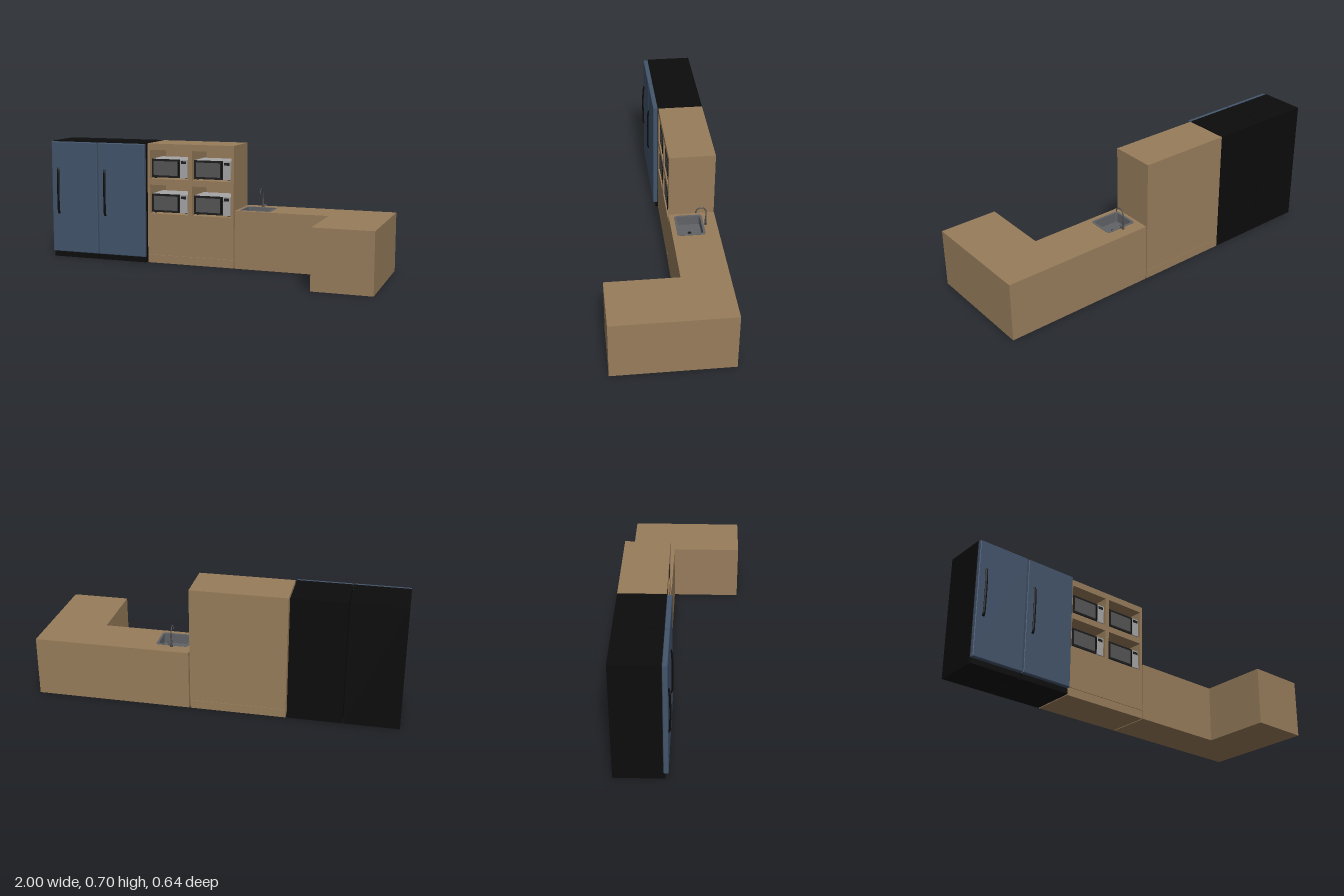
import * as THREE from 'three';

const mat = (color, side = THREE.FrontSide) => new THREE.MeshStandardMaterial({ color, side });
const wood = mat(0x977c5b), blue = mat(0x43546b), black = mat(0x0c0c0c), dark = mat(0x1c1c1c);
const glass = mat(0x555555), silver = mat(0xa5a5a5), steel = mat(0x606266), tapMetal = mat(0x4a4a4a);

function add(parent, name, geometry, material) {
  const mesh = new THREE.Mesh(geometry, material);
  mesh.name = name;
  parent.add(mesh);
  return mesh;
}

// Box given by its extents on each axis
function box(parent, name, [x0, x1], [y0, y1], [z0, z1], material) {
  const mesh = add(parent, name, new THREE.BoxGeometry(x1 - x0, y1 - y0, z1 - z0), material);
  mesh.position.set((x0 + x1) / 2, (y0 + y1) / 2, (z0 + z1) / 2);
  return mesh;
}

// Rounded rectangle outline; r = 0 gives sharp corners
function rect(Type, x0, x1, y0, y1, r = 0) {
  const s = new Type();
  if (!r) {
    s.moveTo(x0, y0).lineTo(x1, y0).lineTo(x1, y1).lineTo(x0, y1).closePath();
    return s;
  }
  s.absarc(x1 - r, y0 + r, r, -Math.PI / 2, 0);
  s.absarc(x1 - r, y1 - r, r, 0, Math.PI / 2);
  s.absarc(x0 + r, y1 - r, r, Math.PI / 2, Math.PI);
  s.absarc(x0 + r, y0 + r, r, Math.PI, Math.PI * 1.5);
  s.closePath();
  return s;
}

const extrude = (shape, depth, extra = {}) =>
  new THREE.ExtrudeGeometry(shape, { depth, bevelEnabled: false, curveSegments: 6, ...extra });

// Plan outline (drawn in x, -z) raised between two heights
function slab(parent, name, shape, y0, y1, material) {
  const mesh = add(parent, name, extrude(shape, y1 - y0).rotateX(-Math.PI / 2), material);
  mesh.position.y = y0;
  return mesh;
}

function tube(parent, name, points, radius, material, segments = 32) {
  const path = new THREE.CatmullRomCurve3(points.map((p) => new THREE.Vector3(...p)));
  return add(parent, name, new THREE.TubeGeometry(path, segments, radius, 10), material);
}

function createFridge(x0) {
  const g = new THREE.Group();
  g.name = 'fridge';
  const w = 0.298;
  box(g, 'fridgeBody', [0, w], [0, 0.696], [-0.322, -0.07], black);
  box(g, 'fridgeKickPlate', [0.003, w - 0.003], [0, 0.03], [-0.07, -0.058], black);
  box(g, 'doorGasket', [0.006, w - 0.006], [0.038, 0.686], [-0.07, -0.066], dark);
  // Door with softened edges
  const b = 0.004;
  const door = add(g, 'fridgeDoor', extrude(rect(THREE.Shape, 0.001 + b, w - 0.001 - b, 0.034 + b, 0.692 - b),
    0.018, { bevelEnabled: true, bevelSize: b, bevelThickness: b, bevelSegments: 2 }), blue);
  door.position.z = -0.068 + b;
  // Bowed handle
  const handle = tube(g, 'fridgeHandle', [[0, 0.265, -0.044], [0, 0.275, -0.037], [0, 0.33, -0.034],
    [0, 0.4, -0.033], [0, 0.47, -0.034], [0, 0.525, -0.039], [0, 0.535, -0.044]], 0.005, black);
  handle.scale.x = 1.5;
  handle.position.x = 0.045;
  g.position.x = x0;
  return g;
}

function createMicrowave(x, y) {
  const g = new THREE.Group();
  g.name = 'microwave';
  box(g, 'microwaveBody', [0, 0.218], [0.006, 0.112], [-0.24, -0.083], silver);
  box(g, 'microwaveDoor', [0, 0.172], [0.006, 0.112], [-0.083, -0.077], dark);
  box(g, 'microwaveWindow', [0.012, 0.158], [0.018, 0.1], [-0.077, -0.0762], glass);
  box(g, 'microwaveHandle', [0.163, 0.168], [0.015, 0.103], [-0.077, -0.073], black);
  box(g, 'controlPanel', [0.174, 0.218], [0.006, 0.112], [-0.083, -0.077], silver);
  box(g, 'microwaveDisplay', [0.18, 0.212], [0.088, 0.104], [-0.077, -0.0762], dark);
  for (const fx of [0.015, 0.203]) for (const fz of [-0.225, -0.1])
    box(g, 'microwaveFoot', [fx - 0.006, fx + 0.006], [0, 0.006], [fz - 0.006, fz + 0.006], black);
  g.position.set(x, y, 0);
  return g;
}

function createTallCabinet() {
  const g = new THREE.Group();
  g.name = 'tallCabinet';
  // Carcass pierced by four open niches
  const front = rect(THREE.Shape, -0.392, 0.132, 0.048, 0.695);
  const columns = [-0.376, -0.117], rows = [0.29, 0.492];
  for (const x of columns) for (const y of rows) {
    front.holes.push(rect(THREE.Path, x, x + 0.234, y, y + 0.167));
    g.add(createMicrowave(x + 0.008, y + 0.003));
  }
  add(g, 'cabinetCarcass', extrude(front, 0.24), wood).position.z = -0.31;
  box(g, 'cabinetBack', [-0.392, 0.132], [0.048, 0.695], [-0.322, -0.31], wood);
  box(g, 'cabinetPlinth', [-0.392, 0.132], [0, 0.0465], [-0.322, -0.071], wood);
  return g;
}

function createCounter() {
  const g = new THREE.Group();
  g.name = 'cornerCounter';
  const outline = () => new THREE.Shape([[0.139, 0.07], [0.675, 0.07], [0.675, -0.322], [1, -0.322],
    [1, 0.322], [0.139, 0.322]].map((p) => new THREE.Vector2(...p)));
  slab(g, 'counterBase', outline(), 0, 0.275, wood);
  const top = outline();
  top.holes.push(rect(THREE.Path, 0.165, 0.33, 0.105, 0.243, 0.014));
  slab(g, 'counterTop', top, 0.275, 0.331, wood);

  // Inset sink: rim, walls, floor and drain
  const rim = rect(THREE.Shape, 0.158, 0.337, 0.098, 0.25, 0.018);
  rim.holes.push(rect(THREE.Path, 0.17, 0.325, 0.11, 0.238, 0.012));
  slab(g, 'sinkRim', rim, 0.331, 0.333, steel);
  const wall = rect(THREE.Shape, 0.165, 0.33, 0.105, 0.243, 0.014);
  wall.holes.push(rect(THREE.Path, 0.17, 0.325, 0.11, 0.238, 0.012));
  slab(g, 'sinkWall', wall, 0.276, 0.332, steel);
  slab(g, 'sinkFloor', rect(THREE.Shape, 0.166, 0.329, 0.106, 0.242, 0.014), 0.2755, 0.279, steel);
  add(g, 'sinkDrain', new THREE.CylinderGeometry(0.01, 0.01, 0.002, 20), dark).position.set(0.2475, 0.2795, -0.174);
  return g;
}

function createFaucet() {
  const g = new THREE.Group();
  g.name = 'faucet';
  const base = [[0, 0], [0.008, 0], [0.008, 0.003], [0.0065, 0.006], [0.006, 0.025], [0.004, 0.048], [0.003, 0.052], [0, 0.052]];
  add(g, 'faucetBase', new THREE.LatheGeometry(base.map((p) => new THREE.Vector2(...p)), 16), tapMetal);
  // Gooseneck spout
  const neck = [[0, 0.045, 0], [0, 0.06, 0], [0, 0.075, 0]];
  for (let i = 0; i <= 8; i++) {
    const a = (Math.PI * i) / 8;
    neck.push([0, 0.084 + 0.0275 * Math.sin(a), 0.0275 * (1 - Math.cos(a))]);
  }
  tube(g, 'faucetSpout', neck, 0.003, tapMetal, 48);
  add(g, 'spoutTip', new THREE.CylinderGeometry(0.0035, 0.0035, 0.006, 12), tapMetal).position.set(0, 0.084, 0.055);
  // Side lever
  const pivot = add(g, 'leverPivot', new THREE.CylinderGeometry(0.004, 0.004, 0.018, 12), tapMetal);
  pivot.rotation.z = Math.PI / 2;
  pivot.position.set(0.01, 0.014, 0);
  tube(g, 'faucetLever', [[0.017, 0.014, 0], [0.019, 0.022, 0], [0.02, 0.032, 0]], 0.002, tapMetal, 8);
  g.position.set(0.247, 0.331, -0.26);
  return g;
}

export function createModel() {
  const model = new THREE.Group();
  model.name = 'kitchen';
  model.add(createFridge(-1), createFridge(-0.697), createTallCabinet(), createCounter(), createFaucet());
  return model;
}
